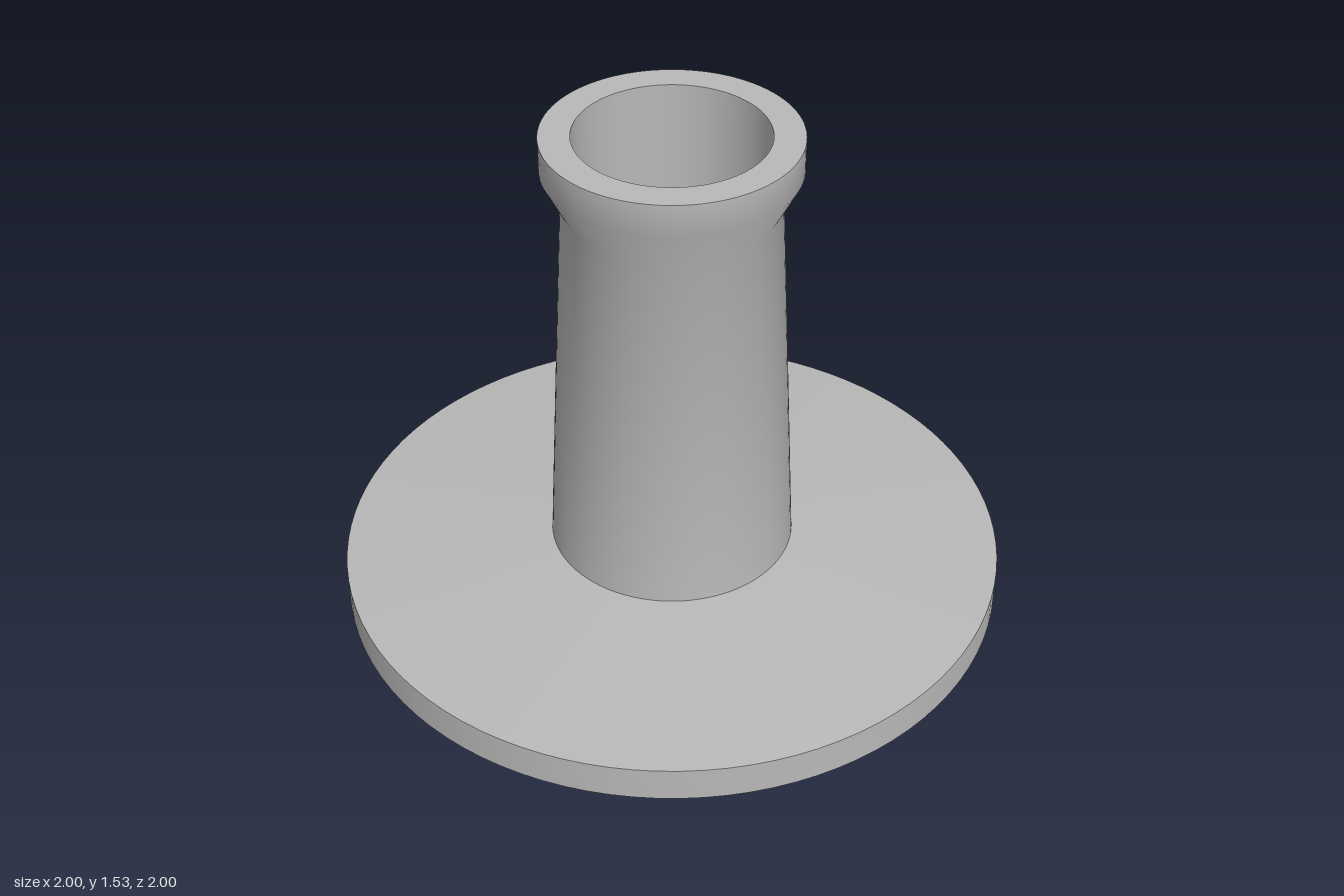
import * as THREE from 'three';
import { toCreasedNormals } from 'three/addons/utils/BufferGeometryUtils.js';

const SEGMENTS = 96;

// Revolve a [radius, height] profile, keeping hard edges crisp
function turned(name, profile, material) {
  const points = profile.map(([r, y]) => new THREE.Vector2(r, y));
  const lathe = new THREE.LatheGeometry(points, SEGMENTS);
  const mesh = new THREE.Mesh(toCreasedNormals(lathe, Math.PI / 5), material);
  mesh.name = name;
  return mesh;
}

export function createModel() {
  const group = new THREE.Group();
  group.name = 'flangedBushing';
  const grey = new THREE.MeshStandardMaterial({ color: 0xb8b8b8 });
  grey.name = 'grey';

  // Wide disc foot with a shallow conical top
  group.add(turned('base', [[0, 0], [1, 0], [1, 0.107], [0.368, 0.16]], grey));

  // Tapered hollow stem: outer wall, flared collar, rim, straight bore and its floor
  group.add(turned('stem', [
    [0.368, 0.16], [0.313, 1.32], [0.368, 1.43], [0.368, 1.53],
    [0.278, 1.53], [0.278, 0.16], [0, 0.16],
  ], grey));

  return group;
}
